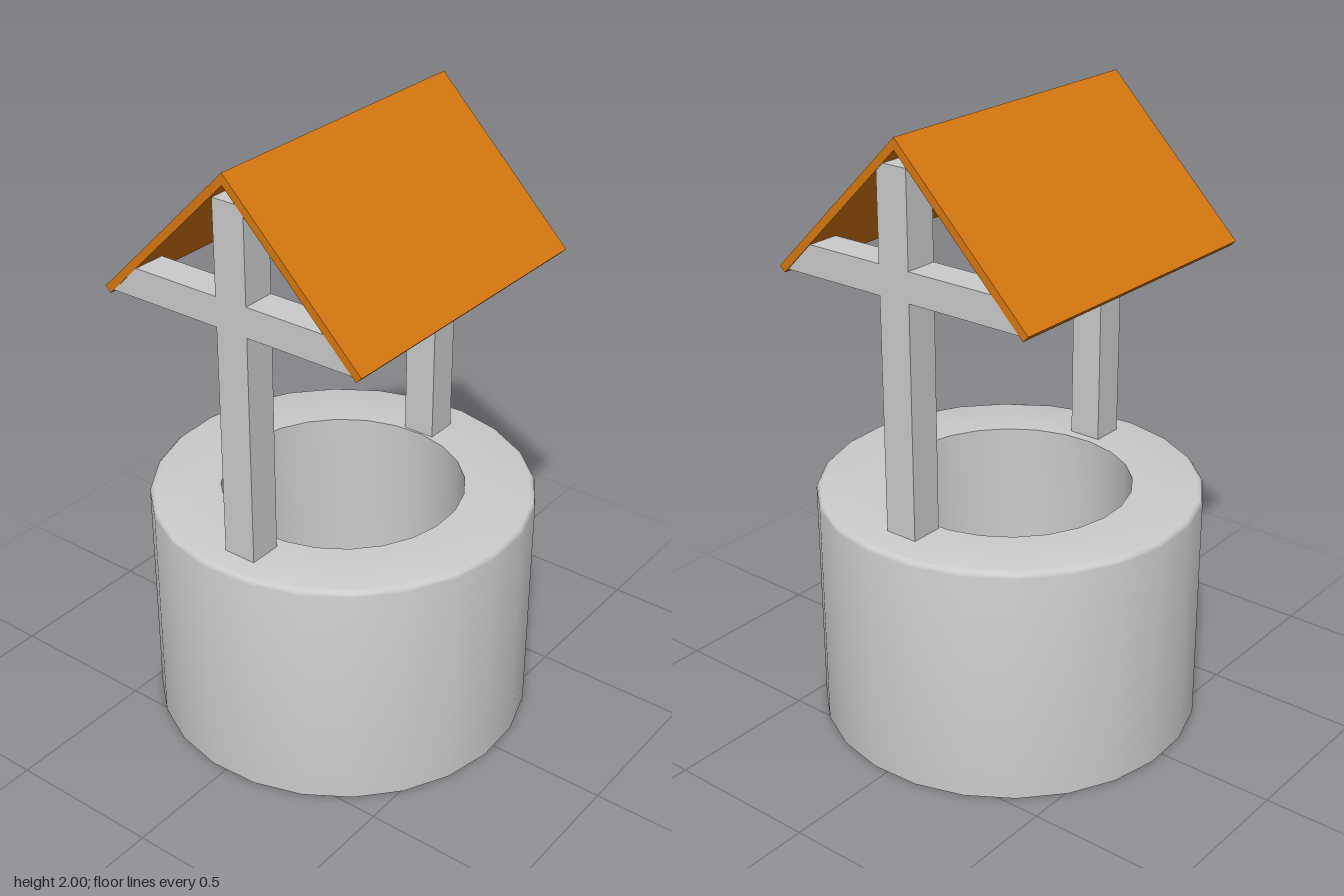
import * as THREE from 'three';
import { toCreasedNormals } from 'three/addons/utils/BufferGeometryUtils.js';

const stone = new THREE.MeshStandardMaterial({ color: 0xcccccc });
const orange = new THREE.MeshStandardMaterial({ color: 0xd9780f });

function add(group, name, geometry, material) {
  const mesh = new THREE.Mesh(geometry, material);
  mesh.name = name;
  group.add(mesh);
  return mesh;
}

// Outline in the xy plane, pushed out from z0 to z1
function slab(points, z0, z1) {
  const shape = new THREE.Shape(points.map(([x, y]) => new THREE.Vector2(x, y)));
  return new THREE.ExtrudeGeometry(shape, { depth: z1 - z0, bevelEnabled: false }).translate(0, 0, z0);
}

export function createModel() {
  const model = new THREE.Group();
  model.name = 'well';

  // Round wall: 24 sides, closed base, softened outer rim, hollow shaft
  const R = 0.616, top = 0.78, soft = 0.018, inner = 0.39, floor = 0.1;
  const profile = [[0, 0], [R, 0]];
  for (let i = 0; i <= 3; i++) {
    const a = (i / 3) * Math.PI / 2;
    profile.push([R - soft + soft * Math.cos(a), top - soft + soft * Math.sin(a)]);
  }
  profile.push([inner, top], [inner, floor], [0, floor]);
  const wall = new THREE.LatheGeometry(
    profile.map(([x, y]) => new THREE.Vector2(x, y)), 24, THREE.MathUtils.degToRad(10.3));
  add(model, 'wellWall', toCreasedNormals(wall, 0.6), stone);

  // Post with a cross beam whose ends are cut along the roof slope
  const frame = [
    [-0.04, 0.7], [0.07, 0.7], [0.07, 1.53], [0.435, 1.53], [0.34, 1.625],
    [0.07, 1.625], [0.07, 1.92], [-0.04, 1.92], [-0.04, 1.625],
    [-0.34, 1.625], [-0.435, 1.53], [-0.04, 1.53],
  ];
  add(model, 'frontFrame', slab(frame, 0.42, 0.528), stone);
  add(model, 'backFrame', slab(frame, -0.503, -0.395), stone);

  // Gable roof: one folded sheet with square-cut eaves
  const roof = [
    [0, 2], [-0.465, 1.535], [-0.447, 1.517], [0, 1.964], [0.449, 1.517], [0.467, 1.535],
  ];
  add(model, 'roof', slab(roof, -0.505, 0.53), orange);

  return model;
}
